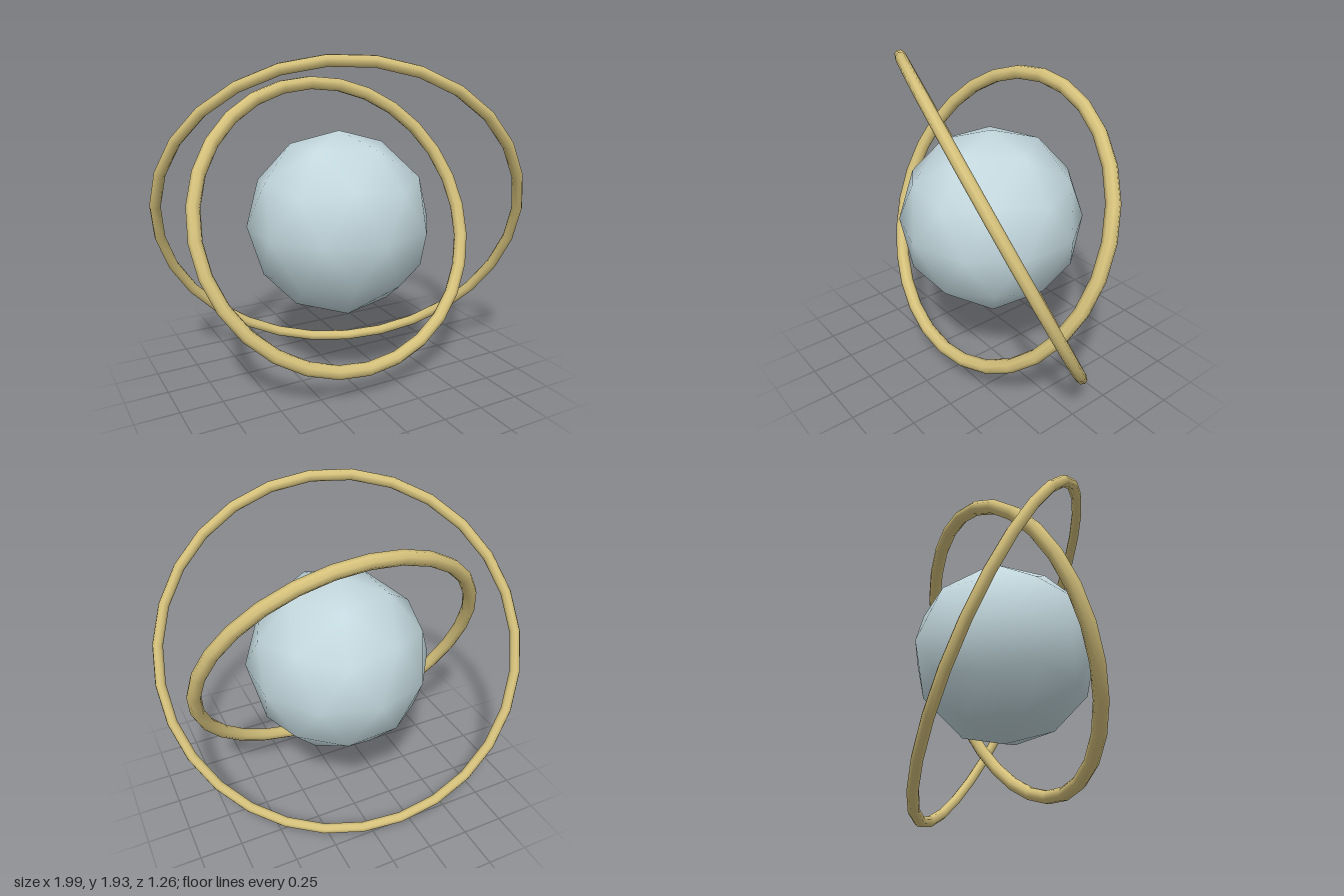
import * as THREE from 'three';

const deg = THREE.MathUtils.degToRad;

export function createModel() {
  const model = new THREE.Group();
  model.name = 'ringedOrb';

  const paleBlue = new THREE.MeshStandardMaterial({ color: 0xc3d8de });
  paleBlue.name = 'paleBlue';
  const gold = new THREE.MeshStandardMaterial({ color: 0xd6c27c });
  gold.name = 'gold';

  const unit = 0.535;      // orb radius, the base for all sizes
  const centerY = 0.968;

  const add = (name, geometry, material) => {
    const mesh = new THREE.Mesh(geometry, material);
    mesh.name = name;
    mesh.position.y = centerY;
    model.add(mesh);
    return mesh;
  };

  // Faceted orb with smooth normals, turned to stand on one of its corners
  const orb = new THREE.IcosahedronGeometry(unit, 1);
  orb.rotateZ(-Math.atan(2 / (1 + Math.sqrt(5))));
  add('orb', orb, paleBlue);

  // Two tilted rings around the orb
  const ring = (name, radius, tube, x, y, z) => {
    const geometry = new THREE.TorusGeometry(radius * unit, tube * unit, 8, 28);
    add(name, geometry, gold).rotation.set(deg(x), deg(y), deg(z));
  };
  ring('innerRing', 1.6, 0.075, -25, 0, 0);
  ring('outerRing', 1.95, 0.058, 28.2, -21.6, 3.2);

  return model;
}
